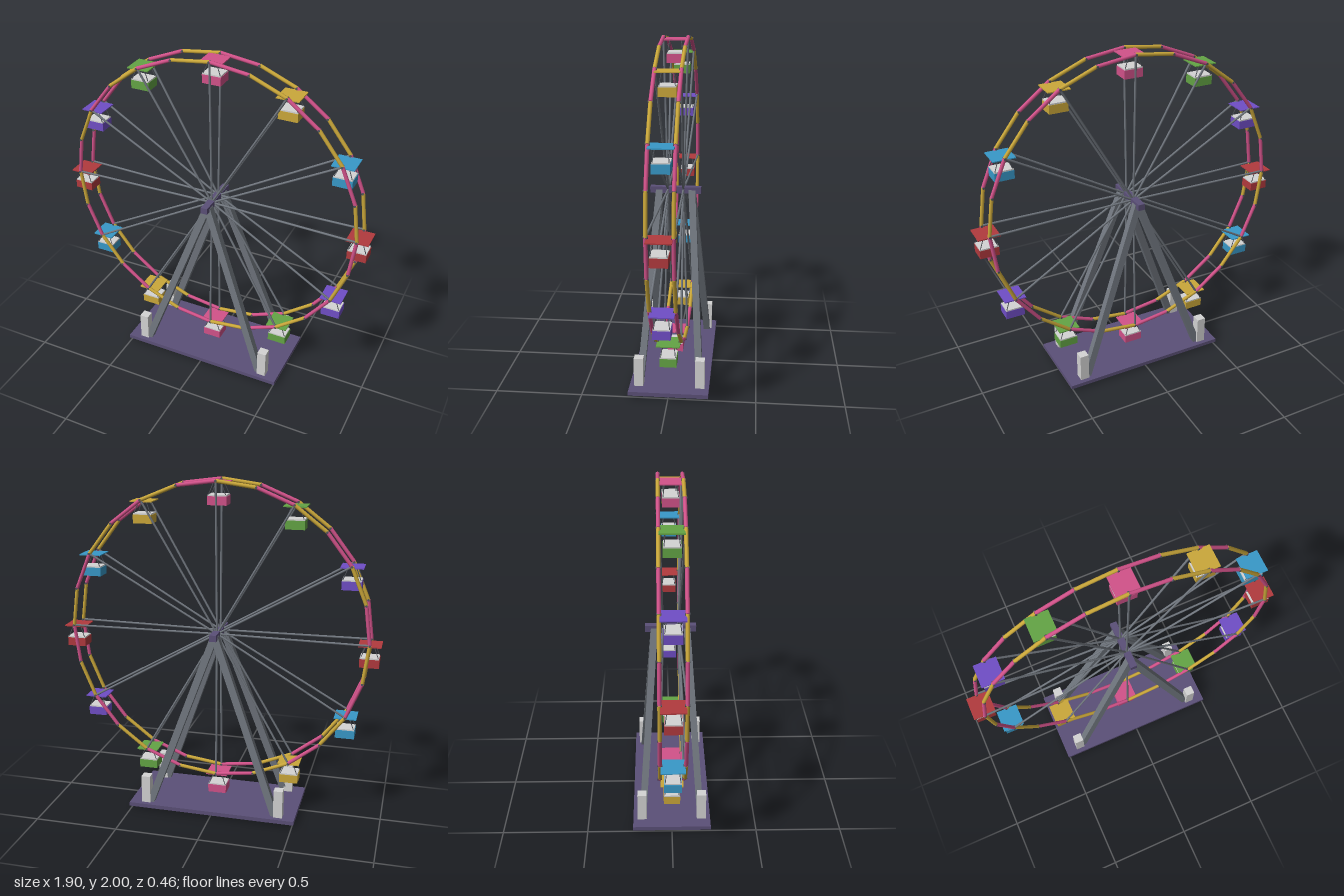
import * as THREE from 'three';

const mat = (name, color) => {
  const m = new THREE.MeshStandardMaterial({ color });
  m.name = name;
  return m;
};

export function createModel() {
  const pink = mat('pink', 0xd2528a), yellow = mat('mustard', 0xcba83a), blue = mat('blue', 0x3899c8);
  const red = mat('red', 0xb23a3e), violet = mat('violet', 0x704ec6), green = mat('green', 0x64a545);
  const indigo = mat('indigo', 0x5b5078), steel = mat('steel', 0x70767e);
  const pale = mat('paleGrey', 0xd4d4d4), dark = mat('darkSteel', 0x53575e);

  const model = new THREE.Group();
  model.name = 'ferrisWheel';
  const V = (x, y, z) => new THREE.Vector3(x, y, z);

  const box = (parent, name, m, w, h, d, x, y, z) => {
    const mesh = new THREE.Mesh(new THREE.BoxGeometry(w, h, d), m);
    mesh.name = name;
    mesh.position.set(x, y, z);
    parent.add(mesh);
  };
  // Round bar between two points
  const bar = (parent, name, m, a, b, r, sides = 6) => {
    const mesh = new THREE.Mesh(new THREE.CylinderGeometry(r, r, a.distanceTo(b), sides), m);
    mesh.name = name;
    mesh.position.copy(a).lerp(b, 0.5);
    mesh.quaternion.setFromUnitVectors(V(0, 1, 0), b.clone().sub(a).normalize());
    parent.add(mesh);
  };

  // Base, footings and A-frame legs
  box(model, 'base', indigo, 1.02, 0.024, 0.46, 0, 0.026, 0);
  for (const sx of [-1, 1]) for (const sz of [-1, 1]) {
    box(model, 'footing', pale, 0.054, 0.172, 0.054, sx * 0.41, 0.124, sz * 0.177);
    // Square leg whose cross-section slides from foot to axle
    const g = new THREE.BoxGeometry(0.045, 1.105, 0.04);
    const p = g.attributes.position;
    for (let i = 0; i < p.count; i++) {
      const t = p.getY(i) / 1.105 + 0.5;
      p.setXYZ(i, p.getX(i) + sx * 0.4 * (1 - t), t * 1.105, p.getZ(i) + sz * (0.175 - 0.079 * t));
    }
    g.computeVertexNormals();
    const leg = new THREE.Mesh(g, steel);
    leg.name = 'leg';
    model.add(leg);
  }

  // Wheel
  const HUB = 1.103, R = 0.886, RIM_Z = 0.07;
  const wheel = new THREE.Group();
  wheel.name = 'wheel';
  model.add(wheel);
  box(wheel, 'axle', indigo, 0.04, 0.038, 0.3, 0, HUB, 0);

  const rimPoint = (i, z) => {
    const a = i * Math.PI / 12;
    return V(R * Math.sin(a), HUB + R * Math.cos(a), z);
  };
  for (const s of [-1, 1]) for (let i = 0; i < 24; i++) {
    const z = s * RIM_Z, p = rimPoint(i, z);
    bar(wheel, 'rimSegment', i % 2 ? yellow : pink, p, rimPoint(i + 1, z), 0.011, 8);
    bar(wheel, 'rimJoint', dark, rimPoint(i, z - 0.013), rimPoint(i, z + 0.013), 0.007, 8);
    if (i % 2 === 0) bar(wheel, 'spoke', steel, V(0, HUB, s * 0.045), p, 0.0065, 8);
  }

  // Cabins hang level from every second rim joint
  const colours = [pink, yellow, blue, red, violet, green];
  for (let i = 0; i < 12; i++) {
    const cabin = new THREE.Group(), m = colours[i % 6];
    cabin.name = 'cabin';
    cabin.position.copy(rimPoint(i * 2, 0));
    model.add(cabin);
    box(cabin, 'roof', m, 0.13, 0.006, 0.134, 0, -0.01, 0);
    bar(cabin, 'crossbar', dark, V(0, -0.016, -RIM_Z), V(0, -0.016, RIM_Z), 0.003);
    box(cabin, 'tub', m, 0.112, 0.05, 0.096, 0, -0.113, 0);
    box(cabin, 'tubTop', pale, 0.108, 0.008, 0.092, 0, -0.084, 0);
    for (const sx of [-1, 1]) for (const sz of [-1, 1]) {
      bar(cabin, 'hanger', dark, V(sx * 0.022, -0.012, sz * 0.032), V(sx * 0.052, -0.086, sz * 0.043), 0.0025, 5);
    }
  }
  return model;
}
